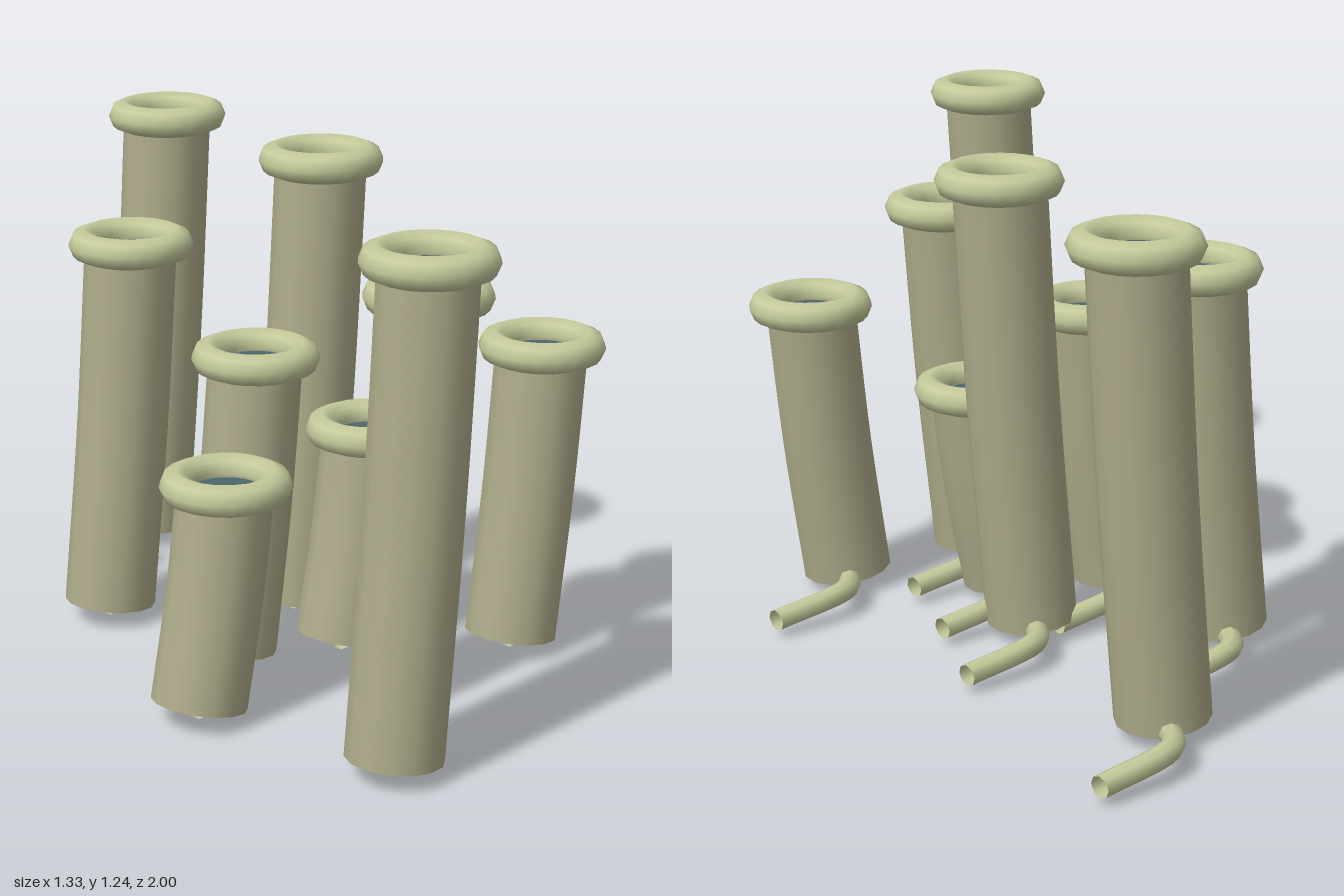
import * as THREE from 'three';

const stalkMat = new THREE.MeshStandardMaterial({ color: 0xaeab8a, side: THREE.DoubleSide });
stalkMat.name = 'dull olive';
const rimMat = new THREE.MeshStandardMaterial({ color: 0xc5ca9b, side: THREE.DoubleSide });
rimMat.name = 'pale green';
const mouthMat = new THREE.MeshStandardMaterial({ color: 0x4f656d, side: THREE.DoubleSide });
mouthMat.name = 'slate blue';

// base x, base z, height of the rim centre
const CLUSTER = [
  [0.18, -0.74, 1.2], [-0.28, -0.355, 0.99], [0.1, -0.055, 1.2],
  [-0.265, 0.095, 0.785], [-0.005, 0.23, 0.575], [-0.555, 0.305, 0.575],
  [-0.09, 0.51, 0.99], [0.32, 0.51, 0.785], [-0.435, 0.84, 1.2],
];
const LEAN = 0.09;

function tube(points, segments, radius, sides) {
  const curve = new THREE.CatmullRomCurve3(points.map(p => new THREE.Vector3(...p)));
  return new THREE.TubeGeometry(curve, segments, radius, sides, false);
}

function makeTube(height) {
  const group = new THREE.Group();
  const add = (name, geometry, material) => {
    const mesh = new THREE.Mesh(geometry, material);
    mesh.name = name;
    group.add(mesh);
    return mesh;
  };
  // leaning open stalk
  const middle = 0.045 + (height - 0.045) * 0.5;
  add('stalk', tube([[0, 0.045, 0], [LEAN * 0.58, middle, 0], [LEAN, height, 0]], 12, 0.117, 14), stalkMat);
  // level rolled rim
  const rim = add('rim', new THREE.TorusGeometry(0.119, 0.04, 8, 20).rotateX(-Math.PI / 2), rimMat);
  rim.position.set(LEAN, height, 0);
  // dark mouth inside the rim
  const mouth = add('mouth', new THREE.CircleGeometry(0.1, 20).rotateX(-Math.PI / 2), mouthMat);
  mouth.position.set(LEAN, height - 0.01, 0);
  // curved runner leaving the base
  add('runner', tube([[0, 0.029, 0], [0.12, 0.064, -0.195], [0.34, 0.044, -0.232]], 14, 0.028, 8), rimMat);
  return group;
}

export function createModel() {
  const model = new THREE.Group();
  model.name = 'tubeCluster';
  CLUSTER.forEach(([x, z, height], i) => {
    const part = makeTube(height);
    part.name = `tube${i + 1}`;
    part.position.set(x, 0, z);
    model.add(part);
  });
  return model;
}
